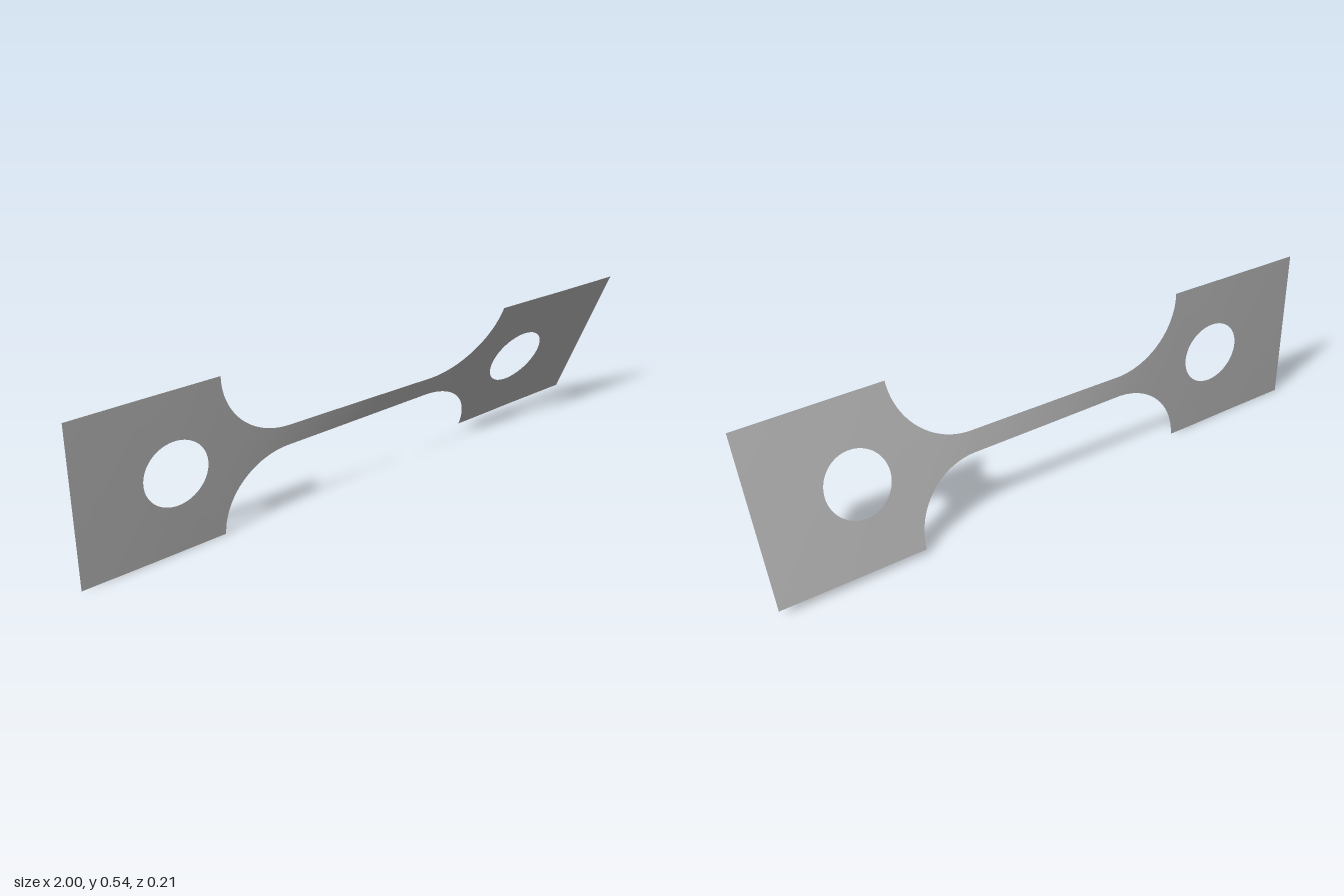
import * as THREE from 'three';

const HALF = 0.271;          // half height of the end tabs
const NECK = 0.036;          // half height of the narrow neck
const FILLET = HALF - NECK;  // radius of the curved shoulders
const TAB = 0.51;            // x where the tabs begin
const HOLE_X = 0.67, HOLE_R = 0.108;
const TWIST = THREE.MathUtils.degToRad(23.3);

// outer outline: half height at x
function outer(x) {
  const s = Math.abs(x) - (TAB - FILLET);
  if (s <= 0) return NECK;
  if (s >= FILLET - 1e-9) return HALF;
  return HALF - Math.sqrt(FILLET * FILLET - s * s);
}

// inner outline: half height of the round hole at x
function inner(x) {
  const d = Math.abs(x) - HOLE_X;
  return Math.sqrt(Math.max(0, HOLE_R * HOLE_R - d * d));
}

// stations along the length, denser where the outline curves
function stations() {
  const half = [];
  const span = (a, b, n, ease) => {
    for (let i = 0; i < n; i++) half.push(a + (b - a) * ease(i / n));
  };
  const linear = t => t;
  span(0, TAB - FILLET, 16, linear);
  span(TAB - FILLET, TAB, 28, t => Math.sin(t * Math.PI / 2));
  span(TAB, HOLE_X - HOLE_R, 4, linear);
  span(HOLE_X - HOLE_R, HOLE_X + HOLE_R, 40, t => (1 - Math.cos(t * Math.PI)) / 2);
  span(HOLE_X + HOLE_R, 1, 8, linear);
  half.push(1);
  return [...half.slice(1).reverse().map(x => -x), ...half];
}

// the sheet twists in inverse proportion to its width
function twistAngles(xs) {
  const sum = [0];
  for (let i = 1; i < xs.length; i++) {
    const m = (xs[i] + xs[i - 1]) / 2;
    sum.push(sum[i - 1] + (xs[i] - xs[i - 1]) / (outer(m) - inner(m)));
  }
  return sum.map(s => TWIST * s / sum[sum.length - 1]);
}

function sheetGeometry() {
  const xs = stations(), angles = twistAngles(xs), rows = 8;
  const pos = [], index = [];
  for (const side of [1, -1]) {
    const base = pos.length / 3;
    xs.forEach((x, i) => {
      for (let r = 0; r <= rows; r++) {
        const v = side * THREE.MathUtils.lerp(inner(x), outer(x), r / rows);
        pos.push(x, HALF + v * Math.cos(angles[i]), v * Math.sin(angles[i]));
        if (i === 0 || r === 0) continue;
        const d = base + i * (rows + 1) + r, c = d - 1;
        const b = d - rows - 1, a = b - 1;
        if (side > 0) index.push(a, c, d, a, d, b);
        else index.push(a, d, c, a, b, d);
      }
    });
  }
  const g = new THREE.BufferGeometry();
  g.setAttribute('position', new THREE.Float32BufferAttribute(pos, 3));
  g.setIndex(index);
  g.computeVertexNormals();
  return g;
}

export function createModel() {
  const group = new THREE.Group();
  group.name = 'twistedTestStrip';
  const metal = new THREE.MeshStandardMaterial({ color: 0xb4b4b4, side: THREE.DoubleSide });
  metal.name = 'plain grey metal';
  const sheet = new THREE.Mesh(sheetGeometry(), metal);
  sheet.name = 'twistedSheet';
  group.add(sheet);
  return group;
}
